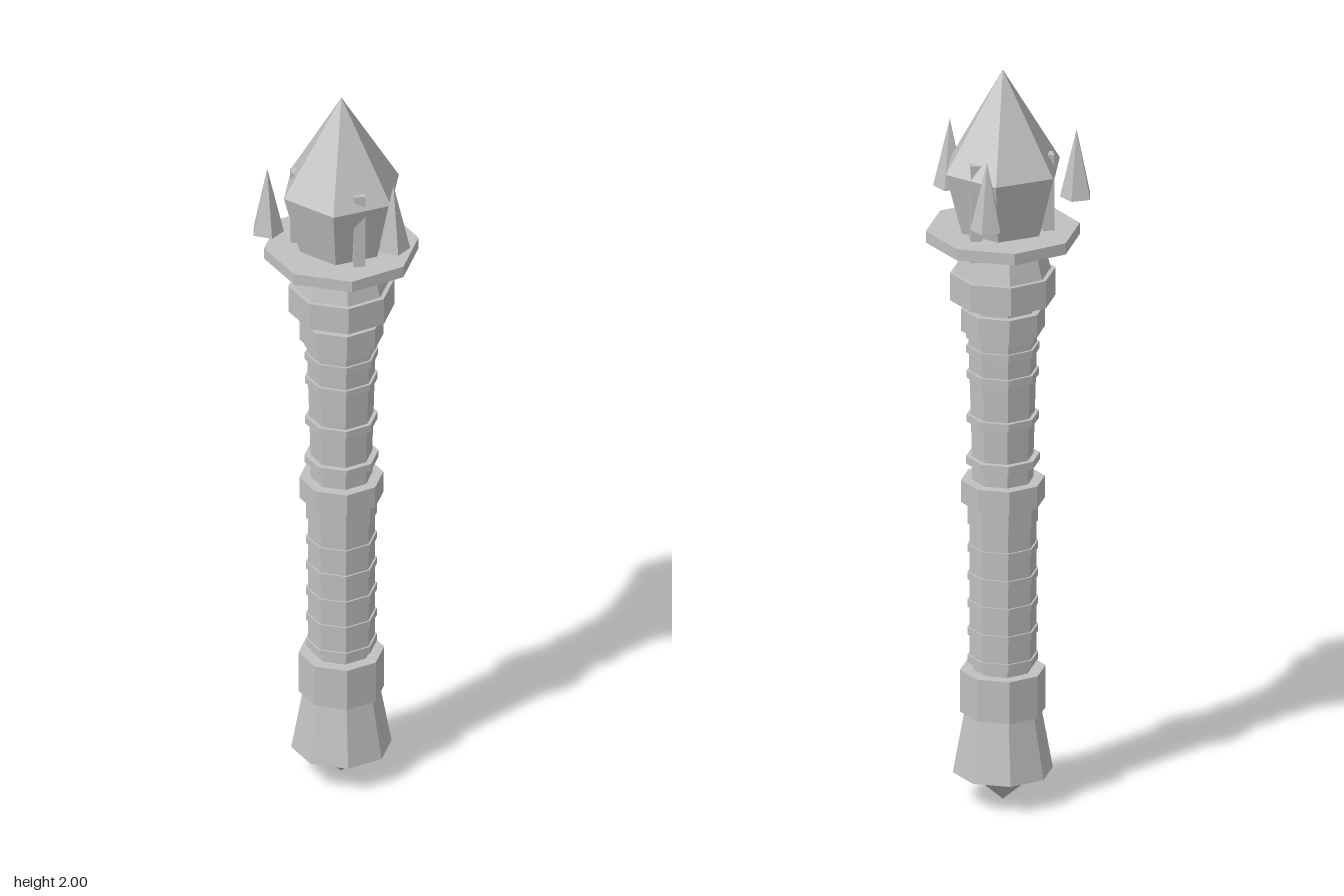
import * as THREE from 'three';

export function createModel() {
  const model = new THREE.Group();
  model.name = 'towerHandle';
  const stone = new THREE.MeshStandardMaterial({ color: 0xc0c0c0, flatShading: true });
  stone.name = 'greyStone';

  // Tower axis sits slightly off the origin
  const tower = new THREE.Group();
  tower.name = 'tower';
  tower.position.set(-0.011, 0, -0.015);
  model.add(tower);

  // Upright faceted section from y0 (radius r0) to y1 (radius r1)
  function section(name, y0, y1, r0, r1 = r0, sides = 8, x = 0, z = 0) {
    const mesh = new THREE.Mesh(new THREE.CylinderGeometry(r1, r0, y1 - y0, sides), stone);
    mesh.name = name;
    mesh.position.set(x, (y0 + y1) / 2, z);
    tower.add(mesh);
    return mesh;
  }

  // Foot
  section('pommelTip', 0, 0.08, 0, 0.093);
  section('flaredFoot', 0.08, 0.245, 0.13, 0.1);
  section('footCollar', 0.245, 0.36, 0.111);
  section('footNeck', 0.36, 0.38, 0.078);

  // Lower shaft with raised courses
  section('lowerShaft', 0.38, 0.78, 0.087);
  for (let i = 0; i < 6; i++) section('lowerCourse', 0.38 + i * 0.076, 0.4 + i * 0.076, 0.092);
  section('lowerCap', 0.78, 0.82, 0.092);

  // Middle collar
  section('middleCollar', 0.82, 0.88, 0.109);
  section('middleNeck', 0.88, 0.925, 0.08);
  section('middleRing', 0.925, 0.945, 0.096);

  // Upper shaft widening towards the top, with raised courses
  section('upperShaft', 0.945, 1.29, 0.08, 0.09);
  for (const [y, r] of [[1.04, 0.094], [1.16, 0.094], [1.23, 0.095]]) section('upperCourse', y, y + 0.02, r);
  section('upperShaftTop', 1.27, 1.29, 0.096);
  section('upperCollar', 1.29, 1.35, 0.109);
  section('upperNeck', 1.35, 1.375, 0.09);
  section('crownCollar', 1.375, 1.45, 0.137);
  section('crownTaper', 1.45, 1.54, 0.125, 0.1);

  // Balcony, turret and roof
  section('balcony', 1.537, 1.568, 0.2);
  section('turretWall', 1.568, 1.735, 0.115, 0.16, 6);
  section('roof', 1.735, 2, 0.16, 0, 6);

  // Three slim posts around the turret
  for (let i = 0; i < 3; i++) {
    const a = i * Math.PI * 2 / 3;
    section('turretPost', 1.51, 1.775, 0.021, 0.021, 4, 0.116 * Math.cos(a), 0.116 * Math.sin(a));
  }

  // Three free-standing spires
  for (const [x, z] of [[-0.154, -0.122], [0.178, -0.08], [-0.025, 0.187]]) {
    section('spire', 1.632, 1.817, 0.043, 0, 5, x, z).rotation.y = Math.PI;
  }
  return model;
}
